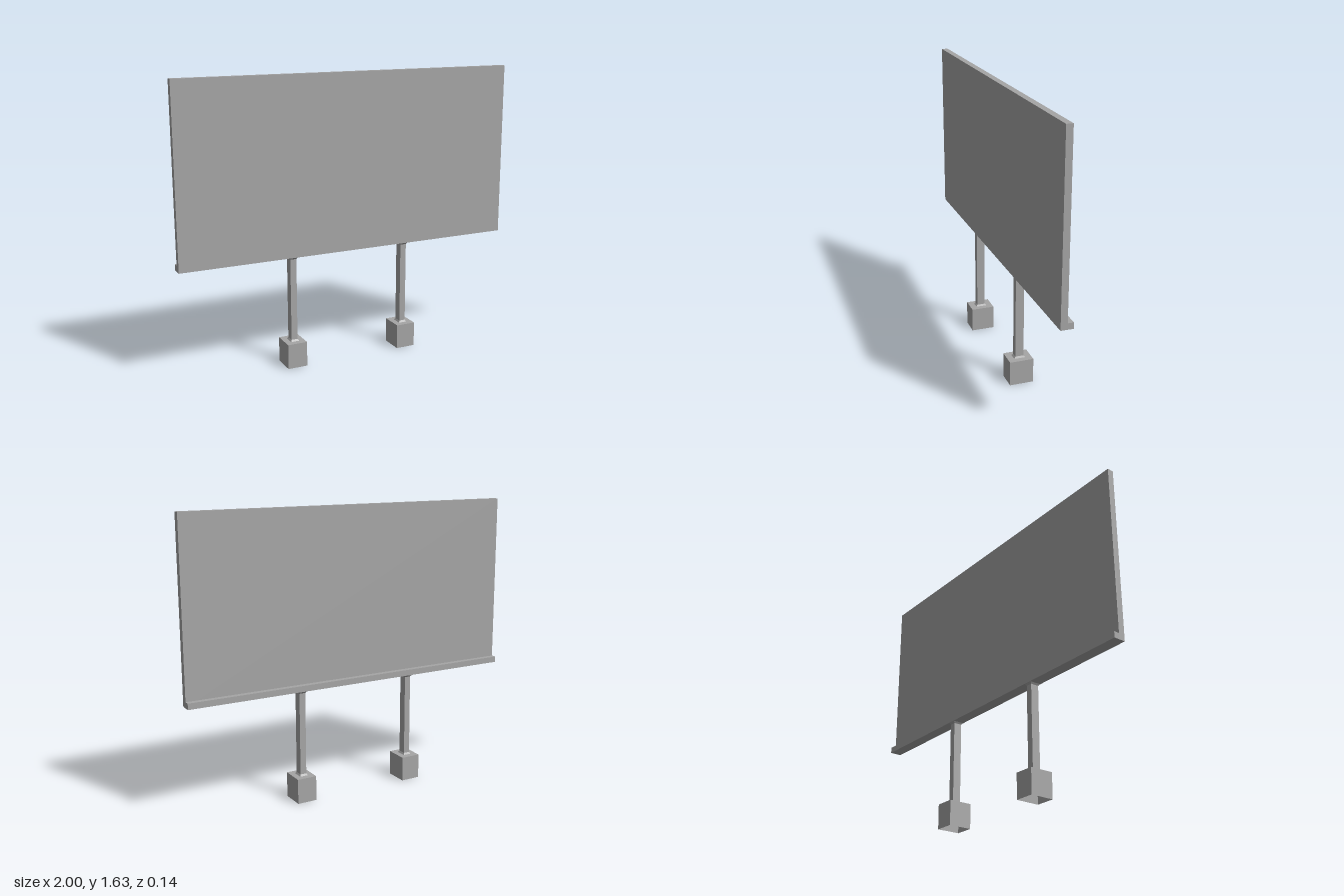
import * as THREE from 'three';

const grey = new THREE.MeshStandardMaterial({ color: 0xa6a6a6, side: THREE.DoubleSide, flatShading: true });
grey.name = 'grey';

const BOARD_BOTTOM = 0.63, BOARD_TOP = 1.63, BASE_TOP = 0.142;

// Box given by its extents
function block(name, [x0, x1], [y0, y1], [z0, z1]) {
  const geometry = new THREE.BoxGeometry(x1 - x0, y1 - y0, z1 - z0);
  const mesh = new THREE.Mesh(geometry, grey);
  mesh.position.set((x0 + x1) / 2, (y0 + y1) / 2, (z0 + z1) / 2);
  mesh.name = name;
  return mesh;
}

// Footing block, open underneath
function makeFooting() {
  const mesh = block('footing', [-0.057, 0.057], [0, BASE_TOP], [-0.068, 0.068]);
  const index = Array.from(mesh.geometry.index.array);
  index.splice(18, 6); // remove the bottom face
  mesh.geometry.setIndex(index);
  mesh.geometry.clearGroups();
  return mesh;
}

// Square post with a small flare at each end
function makePost() {
  const half = 0.018, flare = 0.024, h = 0.01;
  const profile = [
    [flare, BASE_TOP], [half, BASE_TOP + h],
    [half, BOARD_BOTTOM - h], [flare, BOARD_BOTTOM],
  ].map(([r, y]) => new THREE.Vector2(r * Math.SQRT2, y));
  const geometry = new THREE.LatheGeometry(profile, 4).rotateY(Math.PI / 4).scale(1, 1, 1.33);
  const mesh = new THREE.Mesh(geometry, grey);
  mesh.name = 'post';
  return mesh;
}

export function createModel() {
  const model = new THREE.Group();
  model.name = 'billboard';

  // Display panel with a narrow ledge along the back
  model.add(block('panel', [-1, 1], [BOARD_BOTTOM, BOARD_TOP], [-0.002, 0.034]));
  model.add(block('backLedge', [-1, 1], [BOARD_BOTTOM, 0.664], [-0.034, -0.002]));

  // Two supports
  for (const [name, x] of [['rightSupport', -0.354], ['leftSupport', 0.339]]) {
    const support = new THREE.Group();
    support.name = name;
    support.position.x = x;
    support.add(makeFooting(), makePost());
    model.add(support);
  }
  return model;
}
